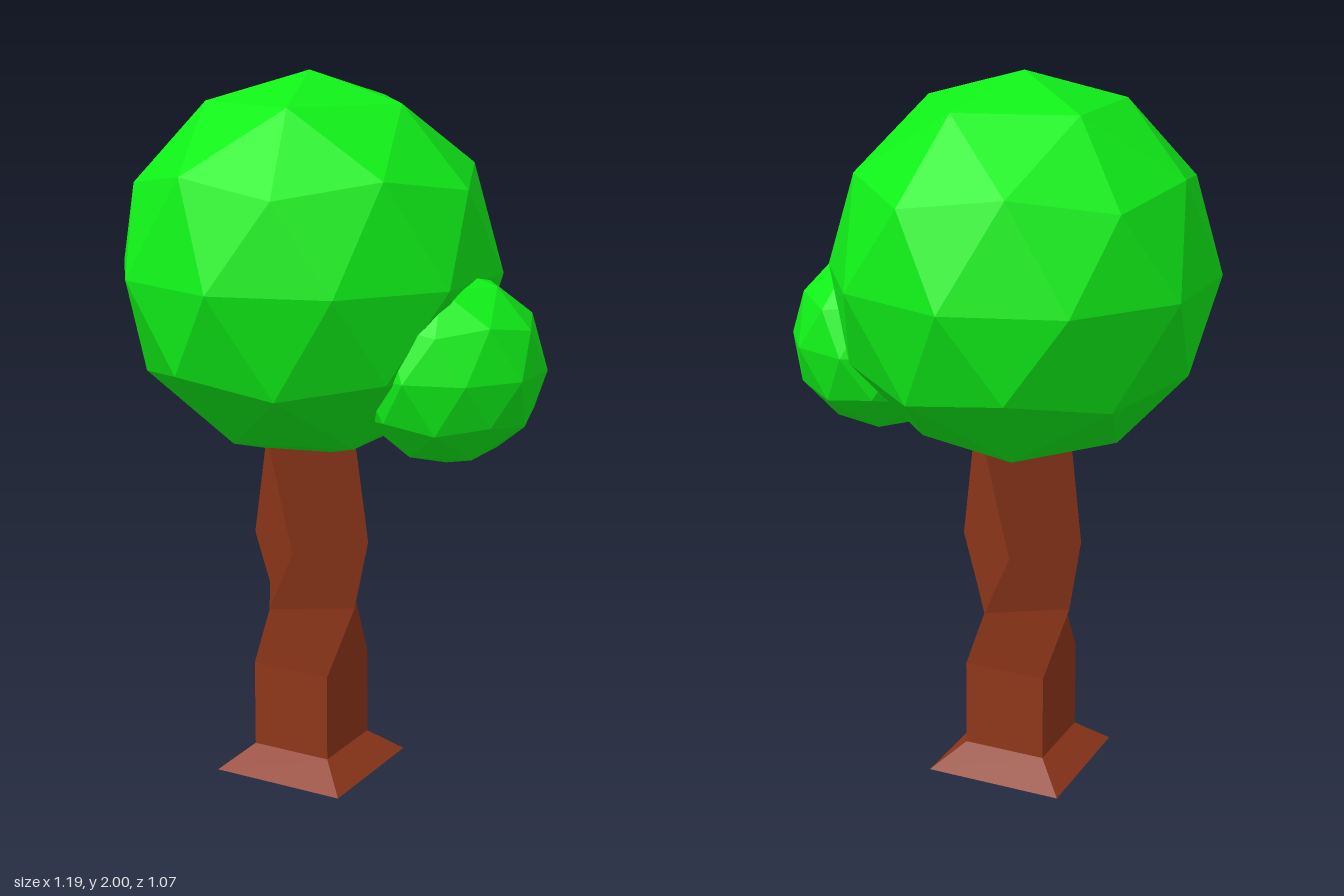
import * as THREE from 'three';

const CENTRE_X = -0.087;
const bark = new THREE.MeshStandardMaterial({ color: 0x8f361a });
const leaves = new THREE.MeshStandardMaterial({ color: 0x10f018, flatShading: true });

// Trunk cross-sections: [height, half width of the square, twist in degrees]
const RINGS = [
  [0, 0.2, 0],
  [0.07, 0.12, 0],
  [0.32, 0.12, 0],
  [0.51, 0.12, 31],
  [0.685, 0.12, 57],
  [1.0, 0.12, 31],
];

function ringCorner([y, half, twist], i) {
  const a = THREE.MathUtils.degToRad(twist - 45 + i * 90);
  const r = half * Math.SQRT2;
  return new THREE.Vector3(r * Math.sin(a), y, r * Math.cos(a));
}

// Four-sided twisted column; each quad gets a single flat normal
function twistedColumn(rings) {
  const position = [], normal = [];
  const quad = (a, b, c, d) => {
    const n = c.clone().sub(a).cross(d.clone().sub(b)).normalize();
    for (const p of [a, b, c, a, c, d]) {
      position.push(p.x, p.y, p.z);
      normal.push(n.x, n.y, n.z);
    }
  };
  for (let k = 0; k < rings.length - 1; k++) {
    for (let i = 0; i < 4; i++) {
      quad(ringCorner(rings[k], i), ringCorner(rings[k], i + 1),
        ringCorner(rings[k + 1], i + 1), ringCorner(rings[k + 1], i));
    }
  }
  // End caps
  const top = rings[rings.length - 1];
  quad(...[0, 1, 2, 3].map((i) => ringCorner(top, i)));
  quad(...[3, 2, 1, 0].map((i) => ringCorner(rings[0], i)));
  const g = new THREE.BufferGeometry();
  g.setAttribute('position', new THREE.Float32BufferAttribute(position, 3));
  g.setAttribute('normal', new THREE.Float32BufferAttribute(normal, 3));
  return g;
}

// Faceted ball with a vertex at each pole
function foliage(name, radius, x, y) {
  const g = new THREE.IcosahedronGeometry(radius, 1);
  g.rotateX(-Math.atan((1 + Math.sqrt(5)) / 2));
  g.rotateY(Math.PI / 2);
  g.computeVertexNormals();
  const mesh = new THREE.Mesh(g, leaves);
  mesh.name = name;
  mesh.position.set(x, y, 0);
  return mesh;
}

export function createModel() {
  const tree = new THREE.Group();
  tree.name = 'tree';

  const trunk = new THREE.Mesh(twistedColumn(RINGS), bark);
  trunk.name = 'trunk';
  trunk.position.x = CENTRE_X;

  tree.add(
    trunk,
    foliage('mainCrown', 0.535, CENTRE_X, 1.465),
    foliage('sideCrown', 0.268, 0.338, 1.23),
  );
  return tree;
}
